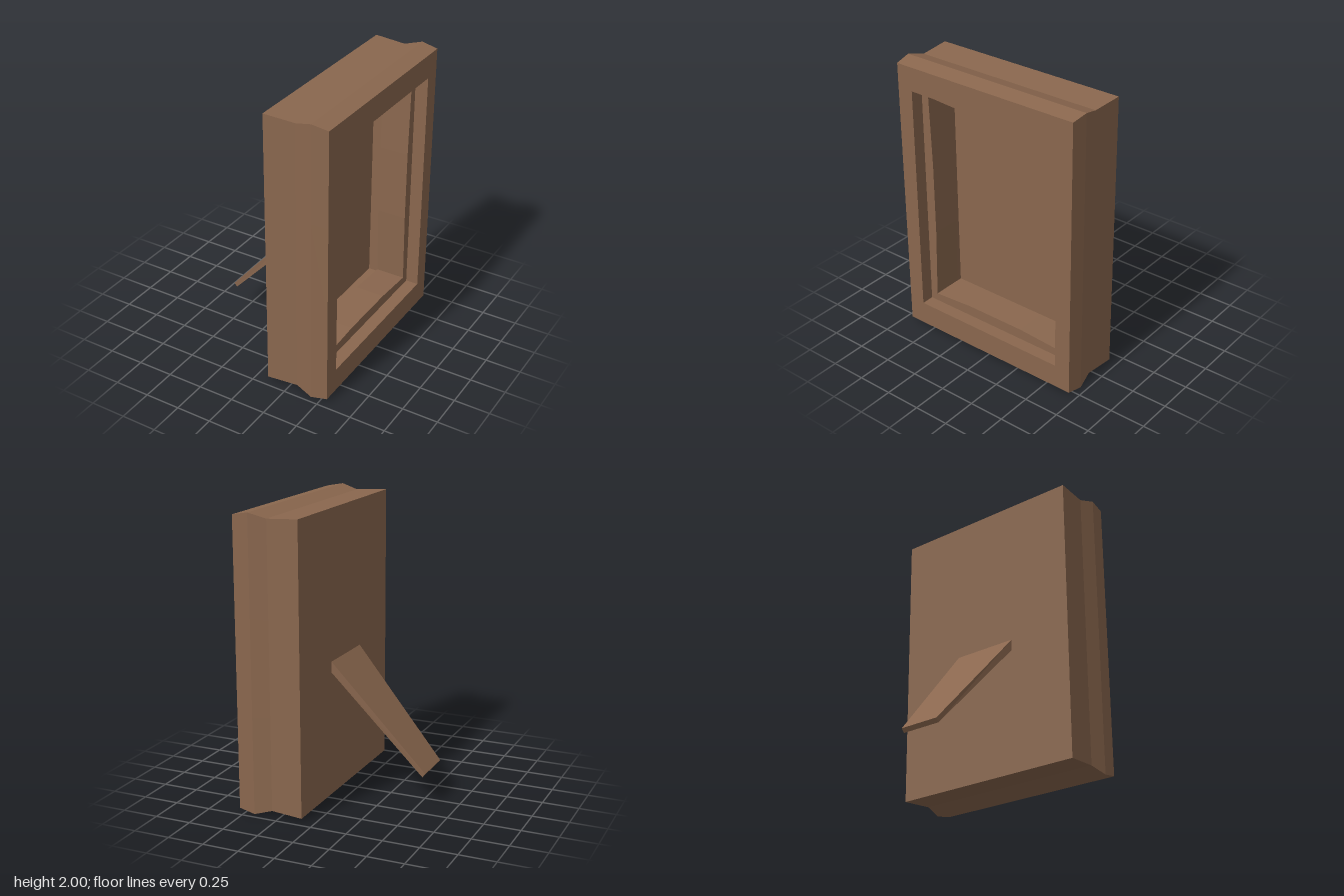
import * as THREE from 'three';

const CENTER_Y = 1;

// Rectangular ring at depth x, counter-clockwise seen from +x; the sides may bow inward.
function ring(x, halfZ, halfY, bowZ = 0, bowY = 0) {
  const pz = halfZ * 0.42, py = halfY * 0.33;
  const z = halfZ - bowZ, y = halfY - bowY;
  return [
    [halfZ, -halfY], [z, -py], [z, py],
    [halfZ, halfY], [pz, y], [-pz, y],
    [-halfZ, halfY], [-z, py], [-z, -py],
    [-halfZ, -halfY], [-pz, -y], [pz, -y],
  ].map(([u, v]) => new THREE.Vector3(x, CENTER_Y + v, -u));
}

// Faceted skin joining successive rings
function loft(rings) {
  const points = [];
  for (let r = 0; r < rings.length - 1; r++) {
    const a = rings[r], b = rings[r + 1];
    for (let i = 0; i < a.length; i++) {
      const j = (i + 1) % a.length;
      points.push(a[i], a[j], b[j], a[i], b[j], b[i]);
    }
  }
  const geometry = new THREE.BufferGeometry().setFromPoints(points);
  geometry.computeVertexNormals();
  return geometry;
}

// Flat rectangle facing +x or -x
function panel(x, halfZ, halfY, facing) {
  const geometry = new THREE.PlaneGeometry(halfZ * 2, halfY * 2);
  geometry.rotateY(facing * Math.PI / 2);
  return geometry.translate(x, CENTER_Y, 0);
}

export function createModel() {
  const model = new THREE.Group();
  model.name = 'photoFrame';
  const wood = new THREE.MeshStandardMaterial({ color: 0x8a674e });
  wood.name = 'brown wood';

  const add = (name, geometry) => {
    const mesh = new THREE.Mesh(geometry, wood);
    mesh.name = name;
    model.add(mesh);
  };

  // Moulded outer sides
  add('outerMoulding', loft([
    ring(0.09, 0.697, 0.978),
    ring(0.31, 0.685, 0.966),
    ring(0.43, 0.707, 1.0),
    ring(0.545, 0.695, 0.979),
  ]));

  // Front border, stepped opening, bowed inner lip and the slot behind it
  add('frontBorder', loft([ring(0.545, 0.695, 0.979), ring(0.545, 0.58, 0.813)]));
  add('openingStep', loft([
    ring(0.545, 0.58, 0.813),
    ring(0.455, 0.58, 0.813),
    ring(0.455, 0.525, 0.758, 0.015, 0.02),
  ]));
  add('innerLip', loft([
    ring(0.455, 0.525, 0.758, 0.015, 0.02),
    ring(0.245, 0.525, 0.758, 0.015, 0.02),
    ring(0.245, 0.58, 0.813),
    ring(0.148, 0.58, 0.813),
  ]));

  // Picture panel and closed back
  add('picturePanel', panel(0.148, 0.58, 0.813, 1));
  add('backPanel', panel(0.09, 0.697, 0.978, -1));

  // Tapered prop leg: a box sheared down and away from the back
  const leg = new THREE.BoxGeometry(1, 1, 1);
  const p = leg.attributes.position;
  for (let i = 0; i < p.count; i++) {
    const joint = p.getX(i) > 0, upper = p.getY(i) > 0;
    const halfWidth = joint ? 0.231 : 0.144;
    const x = joint ? 0.09 : upper ? -0.55 : -0.53;
    const y = joint ? (upper ? 0.957 : 0.882) : (upper ? 0.233 : 0.207);
    p.setXYZ(i, x, y, 0.005 + Math.sign(p.getZ(i)) * halfWidth);
  }
  const flatLeg = leg.toNonIndexed();
  flatLeg.computeVertexNormals();
  add('propLeg', flatLeg);

  return model;
}
